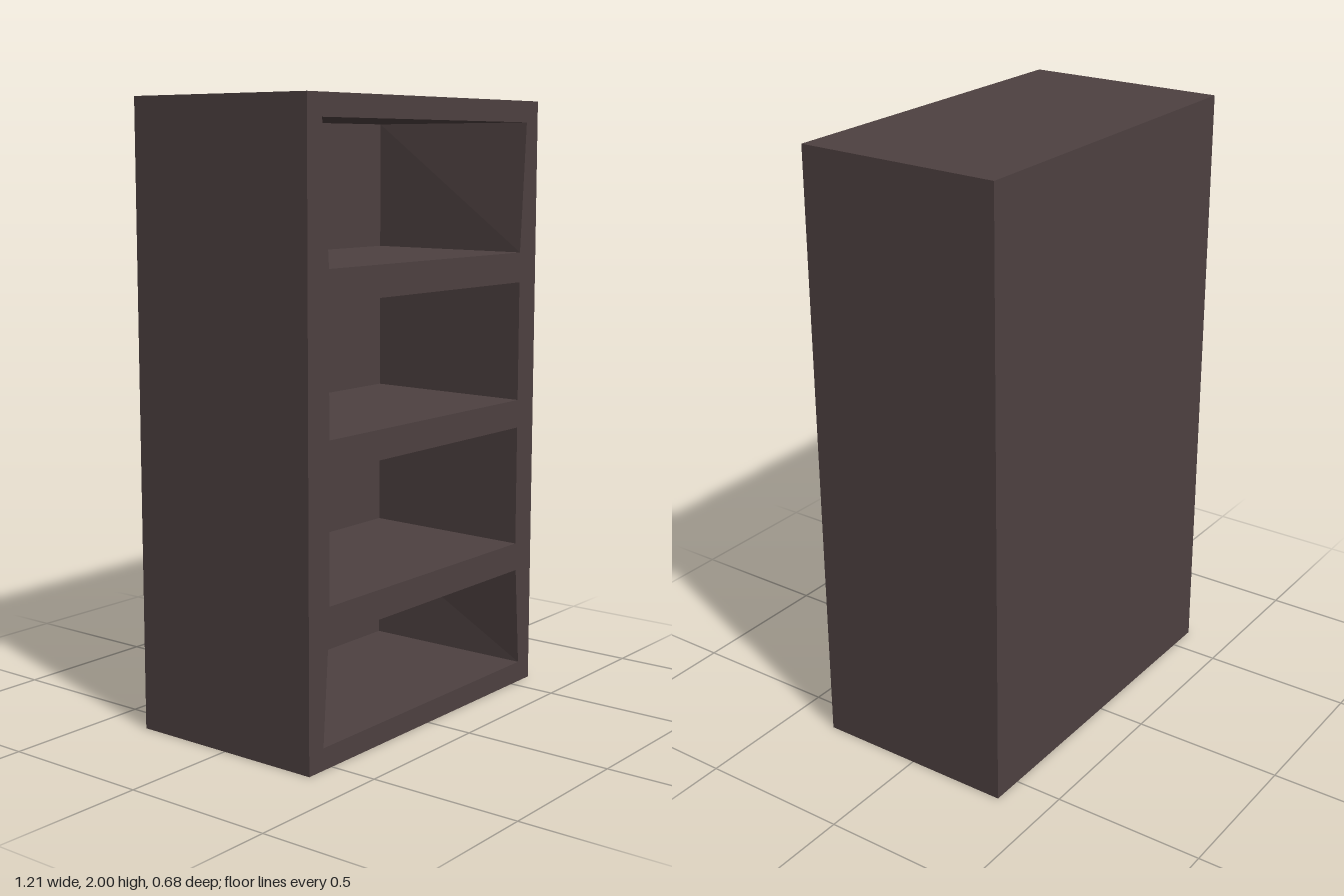
import * as THREE from 'three';

const HALF_W = 0.607, HEIGHT = 2, FRONT = 0.34, BACK = -0.34;
const INNER_BACK = -0.27, INNER_HALF = 0.54;

// Corners of a symmetric trapezoid, counter-clockwise seen from the front
const trapezoid = (bottom, top, halfBottom, halfTop) => [
  [-halfBottom, bottom], [halfBottom, bottom], [halfTop, top], [-halfTop, top],
];

// Walls between a front loop and a back loop, closed at the back.
// A counter-clockwise loop faces inward, a clockwise loop faces outward.
function openBox(frontLoop, backLoop, zFront, zBack) {
  const a = frontLoop.map(([x, y]) => [x, y, zFront]);
  const b = backLoop.map(([x, y]) => [x, y, zBack]);
  const points = [];
  const quad = (p, q, r, s) => points.push(...p, ...q, ...r, ...p, ...r, ...s);
  for (let i = 0; i < 4; i++) {
    const j = (i + 1) % 4;
    quad(a[i], a[j], b[j], b[i]);
  }
  quad(...b);
  const geometry = new THREE.BufferGeometry();
  geometry.setAttribute('position', new THREE.Float32BufferAttribute(points, 3));
  geometry.computeVertexNormals();
  return geometry;
}

export function createModel() {
  const group = new THREE.Group();
  group.name = 'bookcase';
  const wood = new THREE.MeshStandardMaterial({ color: 0x4e4141, flatShading: true });
  wood.name = 'dark wood';
  const add = (name, geometry) => {
    const mesh = new THREE.Mesh(geometry, wood);
    mesh.name = name;
    group.add(mesh);
  };

  // Outer sides, top, bottom and back
  const outline = trapezoid(0, HEIGHT, HALF_W, HALF_W);
  const reversed = [...outline].reverse();
  add('outerCase', openBox(reversed, reversed, FRONT, BACK));

  // Compartments between the shelves: bottom, top, half widths at the front
  const openings = [
    [0.07, 0.405, 0.54, 0.515],
    [0.5, 0.905, 0.51, 0.51],
    [1.0, 1.4, 0.51, 0.51],
    [1.5, 1.93, 0.51, 0.54],
  ];

  // Front frame with shelf edges, pierced by the compartments
  const toPoints = (loop) => loop.map(([x, y]) => new THREE.Vector2(x, y));
  const frame = new THREE.Shape(toPoints(outline));
  openings.forEach((opening, i) => {
    const loop = trapezoid(...opening);
    frame.holes.push(new THREE.Path(toPoints([...loop].reverse())));

    // Inside of each compartment, widening slightly towards the back
    const [bottom, top] = opening;
    const backLoop = trapezoid(bottom, top, INNER_HALF, INNER_HALF);
    add(`compartment${i + 1}`, openBox(loop, backLoop, FRONT, INNER_BACK));
  });
  add('frontFrame', new THREE.ShapeGeometry(frame).translate(0, 0, FRONT));

  return group;
}
